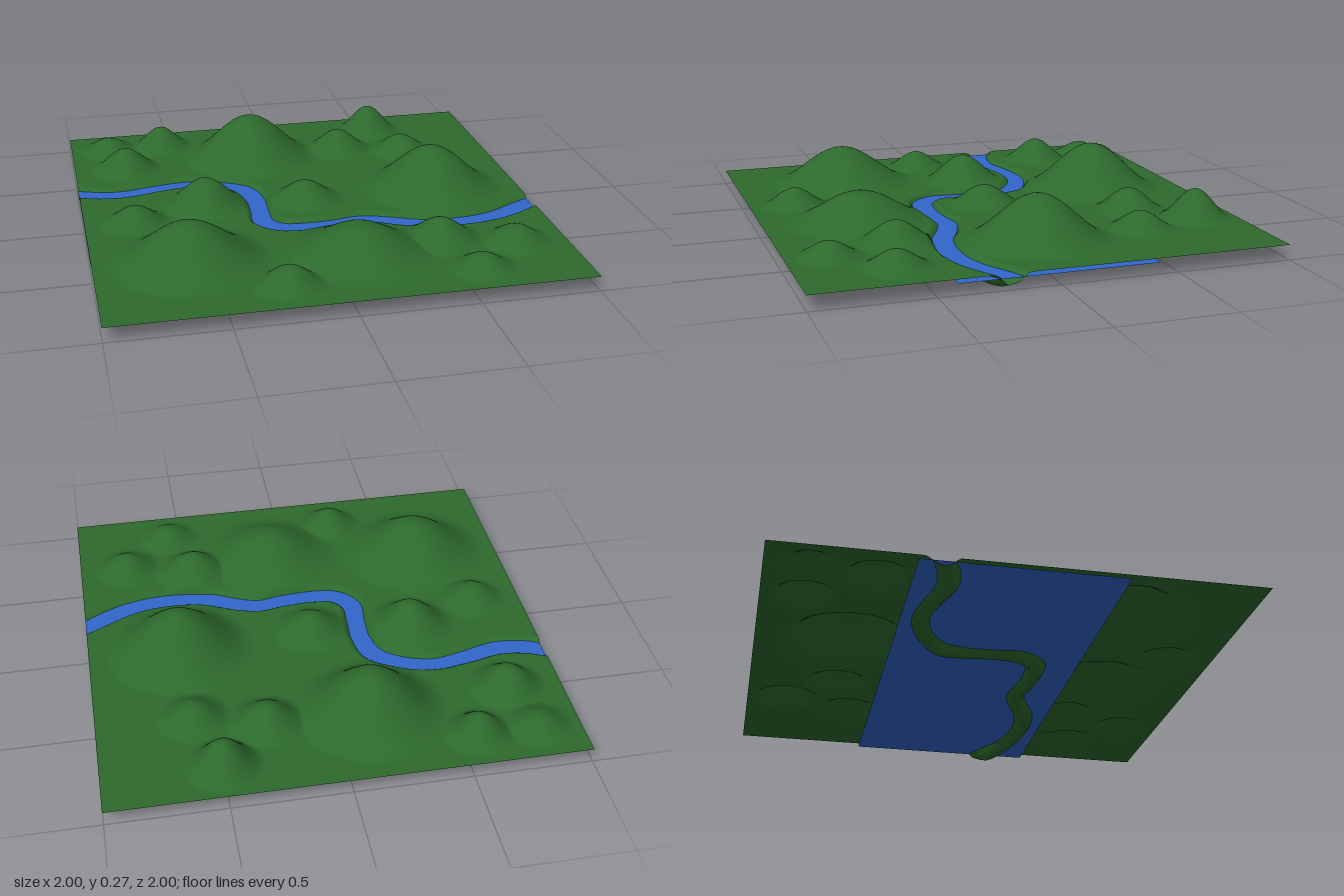
import * as THREE from 'three';

const GROUND = 0.067, WATER = 0.05;

// Hills: centre x, centre z, radius, height above the ground
const hills = [
  [-0.15, -0.60, 0.34, 0.208], [0.60, -0.05, 0.34, 0.197], [-0.60, 0.50, 0.36, 0.172], [0.10, 0.58, 0.35, 0.134],
  [-0.45, -0.06, 0.21, 0.125], [0.00, -0.02, 0.19, 0.09], [-0.78, 0.08, 0.17, 0.08], [-0.76, -0.55, 0.18, 0.105],
  [-0.56, -0.82, 0.16, 0.10], [-0.82, -0.82, 0.16, 0.06], [0.29, -0.60, 0.18, 0.10], [0.50, -0.82, 0.17, 0.13],
  [0.59, -0.52, 0.17, 0.08], [0.47, 0.52, 0.20, 0.098], [0.78, 0.60, 0.17, 0.073], [0.56, 0.82, 0.16, 0.065],
  [-0.24, 0.80, 0.17, 0.083],
];

// River centre line: x, bed height, z
const river = new THREE.CatmullRomCurve3([
  [-1.04, 0.048, -0.35], [-0.93, 0.010, -0.295], [-0.80, 0.015, -0.278], [-0.65, 0.028, -0.312], [-0.50, 0.035, -0.335],
  [-0.35, 0.028, -0.295], [-0.25, 0.012, -0.22], [-0.217, 0.022, -0.10], [-0.22, 0.028, 0.04], [-0.222, 0.016, 0.15],
  [-0.16, 0.014, 0.225], [-0.05, 0.018, 0.245], [0.10, 0.022, 0.237], [0.20, 0.026, 0.22], [0.30, 0.020, 0.25],
  [0.45, 0.014, 0.315], [0.65, 0.020, 0.33], [0.80, 0.014, 0.30], [0.94, 0.004, 0.23], [1.04, 0.045, 0.17],
].map(p => new THREE.Vector3(...p))).getSpacedPoints(260);

function hillHeight(x, z) {
  let h = 0;
  for (const [cx, cz, r, top] of hills) {
    const d = Math.hypot(x - cx, z - cz) / r;
    if (d < 1) h = Math.max(h, top * 0.5 * (1 + Math.cos(Math.PI * d)));
  }
  return GROUND + h;
}

// Hills with the river bed carved into them
function landHeight(x, z) {
  const h = hillHeight(x, z);
  if (Math.abs(z) > 0.5) return h;
  let best = Infinity, bed = 0;
  for (const p of river) {
    const d = (p.x - x) ** 2 + (p.z - z) ** 2;
    if (d < best) { best = d; bed = p.y; }
  }
  const carve = 1 - THREE.MathUtils.smoothstep(Math.sqrt(best), 0.01, 0.066);
  return THREE.MathUtils.lerp(h, bed, carve);
}

function sheet(name, width, depth, segments, color) {
  const geometry = new THREE.PlaneGeometry(width, depth, segments, segments).rotateX(-Math.PI / 2);
  const mesh = new THREE.Mesh(geometry, new THREE.MeshStandardMaterial({ color, side: THREE.DoubleSide }));
  mesh.name = name;
  return mesh;
}

export function createModel() {
  const group = new THREE.Group();
  group.name = 'riverLandscape';

  // Rolling land
  const land = sheet('land', 2, 2, 200, 0x2d6a2d);
  const pos = land.geometry.attributes.position;
  for (let i = 0; i < pos.count; i++) pos.setY(i, landHeight(pos.getX(i), pos.getZ(i)));
  land.geometry.computeVertexNormals();

  // Flat water sheet, showing only where the bed drops below it
  const water = sheet('water', 2, 0.84, 1, 0x3366cc);
  water.position.y = WATER;

  group.add(land, water);
  return group;
}
